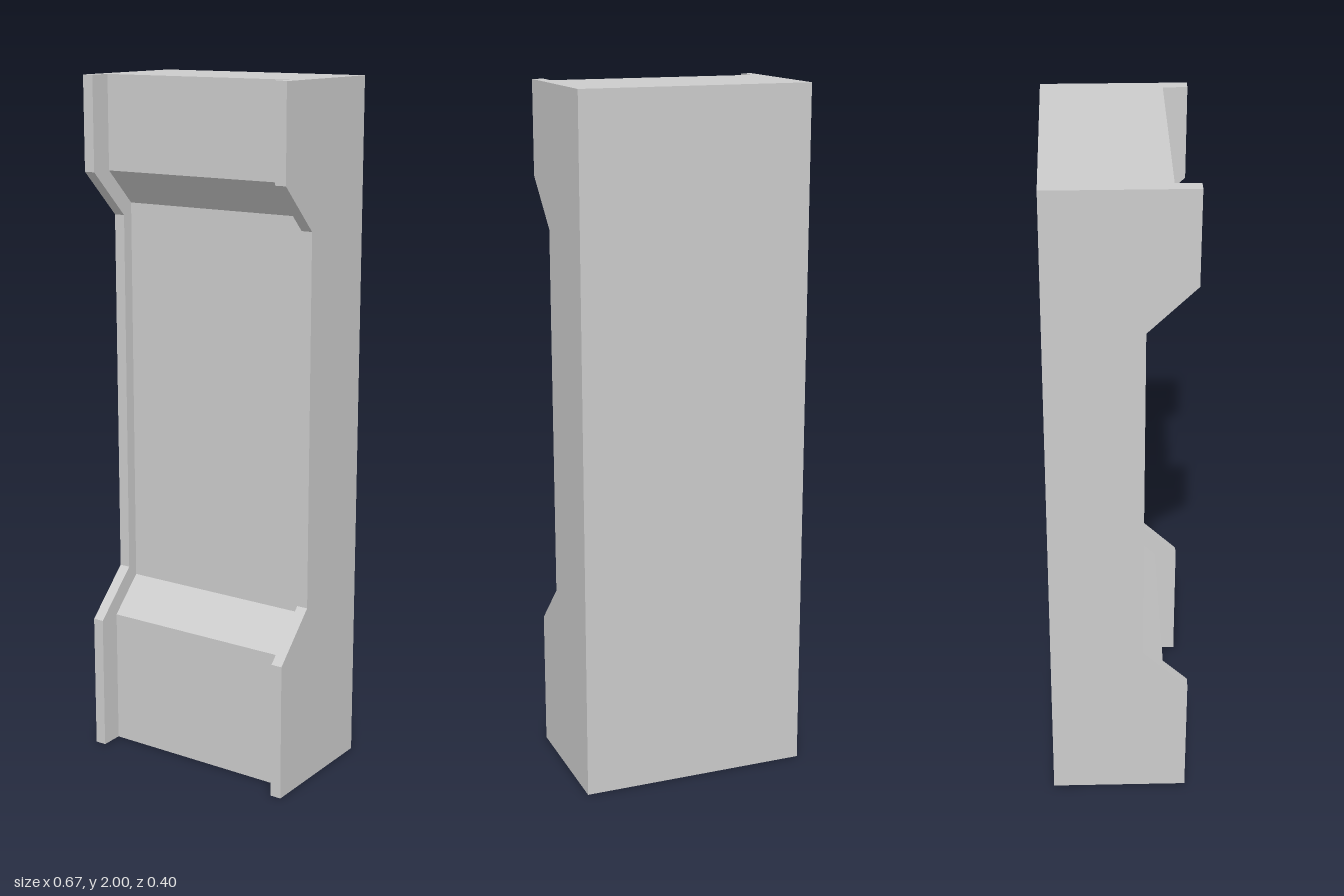
import * as THREE from 'three';

const BACK = -0.2, HEIGHT = 2;
const material = new THREE.MeshStandardMaterial({ color: 0xcccccc, flatShading: true });

// Slab with a 45 degree recess in its front edge, extruded across x
function recessedSlab(name, width, x, front, depth) {
  const low = 0.4, high = 1.733;
  const profile = new THREE.Shape([
    [BACK, 0], [front, 0], [front, low], [front - depth, low + depth],
    [front - depth, high - depth], [front, high], [front, HEIGHT], [BACK, HEIGHT],
  ].map(([z, y]) => new THREE.Vector2(z, y)));
  const geometry = new THREE.ExtrudeGeometry(profile, { depth: width, bevelEnabled: false });
  geometry.translate(0, 0, -width / 2).rotateY(-Math.PI / 2);
  const mesh = new THREE.Mesh(geometry, material);
  mesh.name = name;
  mesh.position.x = x;
  return mesh;
}

export function createModel() {
  const group = new THREE.Group();
  group.name = 'cabinet';

  // Main body, set back between the side panels
  group.add(recessedSlab('cabinetBody', 0.6, 0, 0.133, 0.1));

  // Side panels standing proud of the body
  for (const [name, side] of [['leftSidePanel', 1], ['rightSidePanel', -1]]) {
    group.add(recessedSlab(name, 0.033, side * 0.3165, 0.2, 0.133));
  }
  return group;
}
